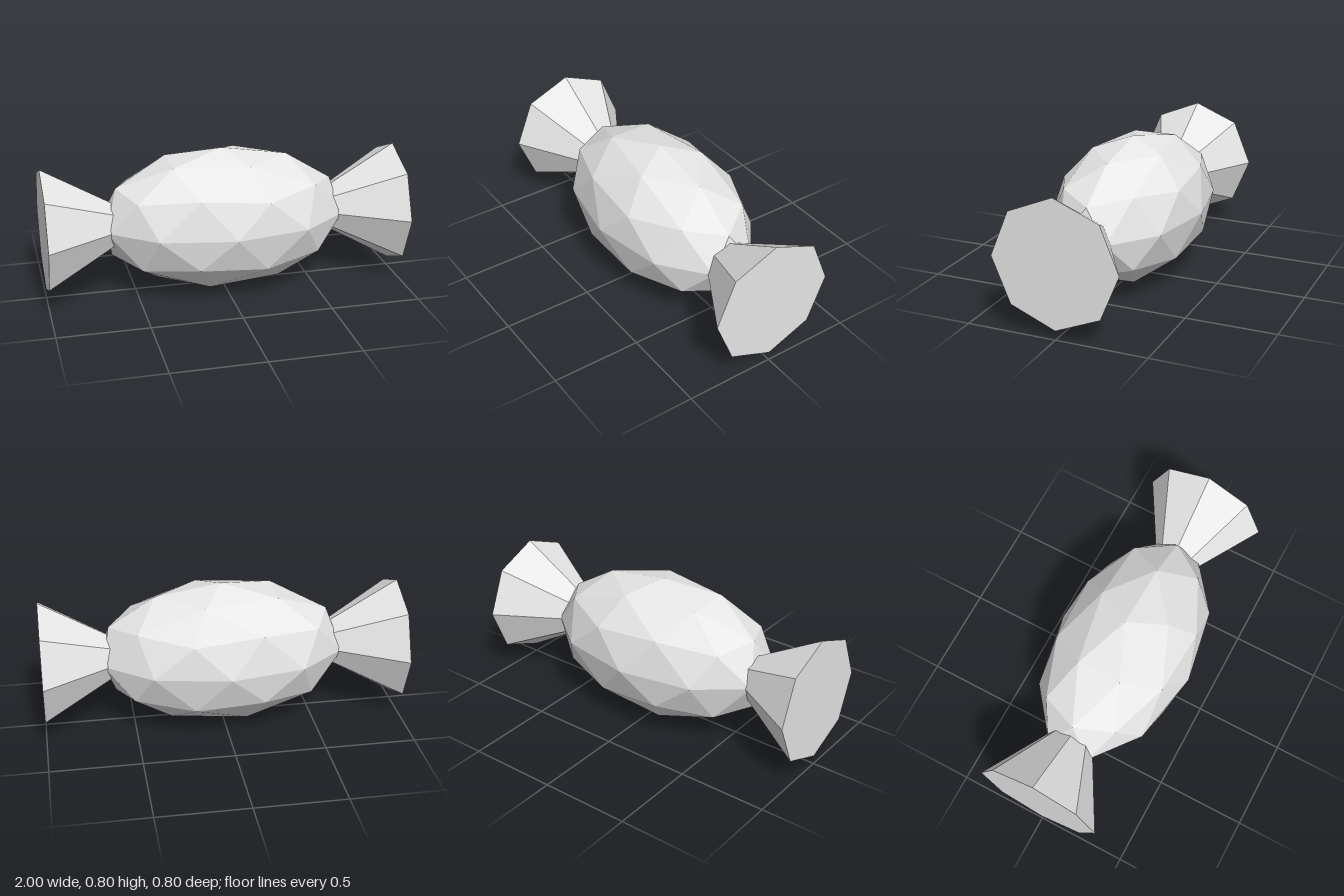
import * as THREE from 'three';

export function createModel() {
  const group = new THREE.Group();
  const wrapper = new THREE.MeshStandardMaterial({ color: 0xe7e7e7, flatShading: true });
  wrapper.name = 'wrapper grey';

  // Faceted sweet: icosphere with a vertex at the top, stretched along x
  const bodyGeo = new THREE.IcosahedronGeometry(1, 1);
  bodyGeo.rotateZ(-Math.atan(2 / (1 + Math.sqrt(5))));
  bodyGeo.scale(0.7, 0.4, 0.4);
  bodyGeo.computeVertexNormals();
  const body = new THREE.Mesh(bodyGeo, wrapper);
  body.name = 'body';
  body.position.y = 0.4;
  group.add(body);

  // Flared wrapper ends: closed cones with their tips buried in the body
  for (const side of [1, -1]) {
    const endGeo = new THREE.ConeGeometry(0.35, 0.6, 8);
    endGeo.rotateZ(side * Math.PI / 2);
    const end = new THREE.Mesh(endGeo, wrapper);
    end.name = side > 0 ? 'leftWrapperEnd' : 'rightWrapperEnd';
    end.position.set(side * 0.7, 0.4, 0);
    group.add(end);
  }
  return group;
}
